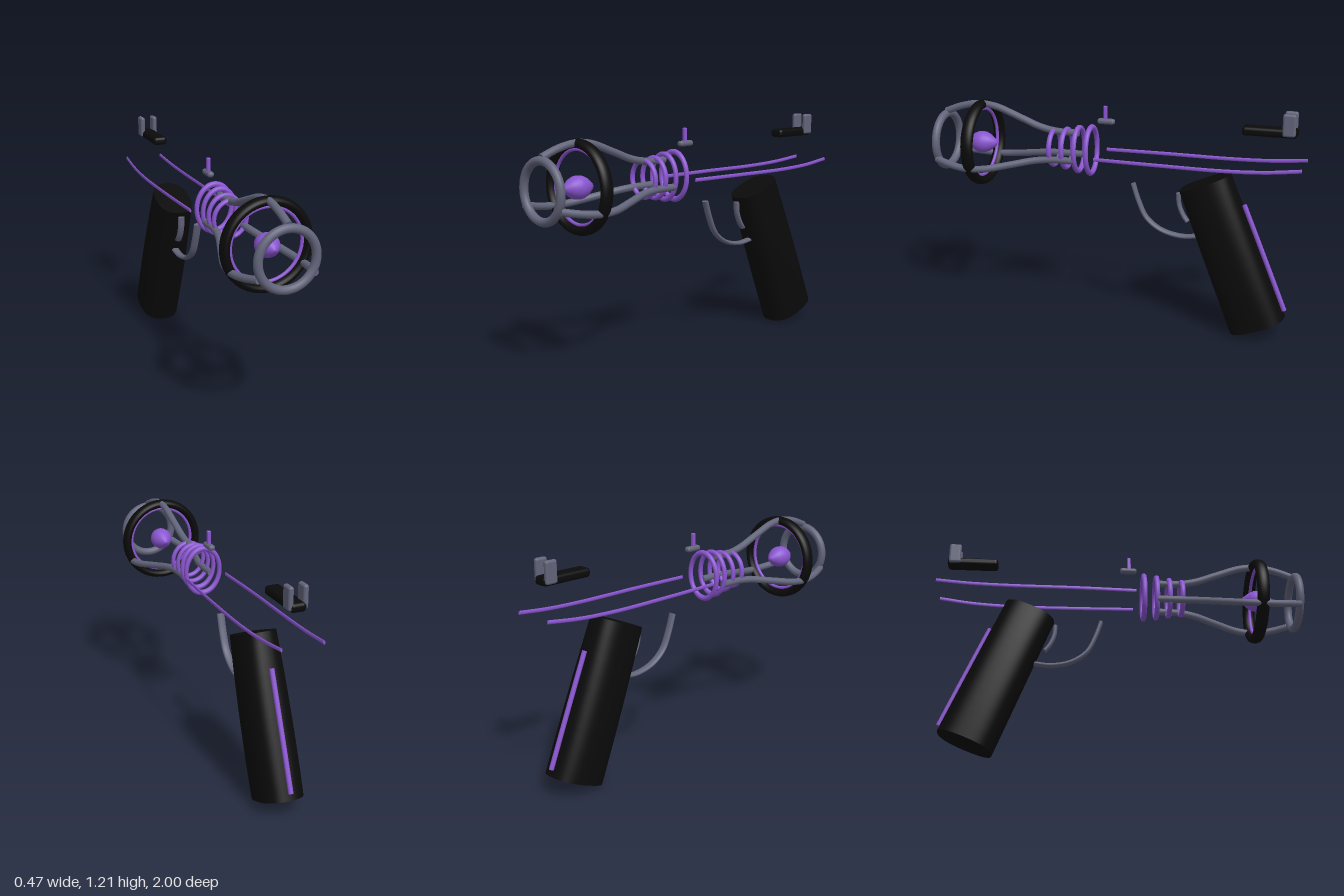
import * as THREE from 'three';
import { mergeGeometries, toCreasedNormals } from 'three/addons/utils/BufferGeometryUtils.js';
import { RoundedBoxGeometry } from 'three/addons/geometries/RoundedBoxGeometry.js';

const material = (name, color) => new THREE.MeshStandardMaterial({ name, color });
const AXIS = 0.943; // height of the barrel axis

export function createModel() {
  const purple = material('purple', 0x8a55d0);
  const grey = material('slate grey', 0x62647a);
  const black = material('black', 0x0a0a0a);
  const model = new THREE.Group();

  function add(name, geometry, mat, x = 0, y = 0, z = 0) {
    const mesh = new THREE.Mesh(geometry, mat);
    mesh.name = name;
    mesh.position.set(x, y, z);
    model.add(mesh);
    return mesh;
  }

  // Capped tube along points; stretch widens or narrows its section along x
  function rod(points, radius, stretch = 1, segments = 40) {
    const curve = new THREE.CatmullRomCurve3(
      points.map(([x, y, z]) => new THREE.Vector3(x / stretch, y, z)));
    const parts = [new THREE.TubeGeometry(curve, segments, radius, 12)];
    for (const t of [0, 1]) {
      const out = curve.getTangentAt(t).multiplyScalar(t ? 1 : -1);
      const turn = new THREE.Quaternion().setFromUnitVectors(new THREE.Vector3(0, 0, 1), out);
      const at = curve.getPointAt(t);
      parts.push(new THREE.CircleGeometry(radius, 12).applyQuaternion(turn).translate(at.x, at.y, at.z));
    }
    return mergeGeometries(parts).scale(stretch, 1, 1);
  }

  // Muzzle rings
  add('muzzleRing', new THREE.TorusGeometry(0.145, 0.022, 16, 64), grey, 0, AXIS, 0.976);
  add('guardRing', new THREE.TorusGeometry(0.212, 0.023, 20, 72).scale(1, 1, 1.5), black, 0, AXIS, 0.76);
  add('guardRingLining', new THREE.TorusGeometry(0.184, 0.009, 12, 72), purple, 0, AXIS, 0.76);

  // Energy core, pointed along the barrel
  const coreProfile = [[0, -0.088], [0.02, -0.079], [0.046, -0.045], [0.057, -0.02], [0.059, 0],
    [0.057, 0.02], [0.046, 0.045], [0.02, 0.079], [0, 0.088]].map(p => new THREE.Vector2(...p));
  add('energyCore', new THREE.LatheGeometry(coreProfile, 32).rotateX(Math.PI / 2), purple, 0, AXIS, 0.765);

  // Three bowed prongs around the barrel, as radius and z
  const prongPath = [[0.16, 0.975], [0.195, 0.88], [0.214, 0.78], [0.205, 0.68],
    [0.155, 0.54], [0.11, 0.42], [0.093, 0.33], [0.09, 0.2]];
  for (let i = 0; i < 3; i++) {
    const prong = add('prong', rod(prongPath.map(([r, z]) => [0, r, z]), 0.019), grey, 0, AXIS, 0);
    prong.rotation.z = i * Math.PI * 2 / 3;
  }

  // Oval coils: half width, half height, z
  for (const [w, h, z] of [[0.1, 0.107, 0.34], [0.1, 0.117, 0.27], [0.102, 0.132, 0.2], [0.109, 0.14, 0.13]]) {
    const coil = new THREE.TorusGeometry(1 - 0.11, 0.11, 12, 56).scale(w, h, 0.014 / 0.11);
    add('coil', coil, purple, 0, AXIS + 0.002, z);
  }

  // Slim side rails
  for (const s of [-1, 1]) {
    add('sideRail', rod([[s * 0.112, 0.926, 0.08], [s * 0.122, 0.926, -0.25], [s * 0.123, 0.926, -0.6],
      [s * 0.117, 0.935, -0.82], [s * 0.107, 0.954, -1]], 0.01, 0.5), purple);
  }

  // Front sight
  add('frontSightBase', new RoundedBoxGeometry(0.036, 0.03, 0.095, 4, 0.014), grey, 0, 1.108, 0.046);
  add('frontSightPost', new RoundedBoxGeometry(0.02, 0.08, 0.02, 3, 0.005), purple, 0, 1.15, 0.05);

  // Rear sight
  add('rearSightBase', new RoundedBoxGeometry(0.08, 0.046, 0.278, 4, 0.018), black, 0, 1.118, -0.818);
  for (const s of [-1, 1]) {
    add('rearSightPost', new RoundedBoxGeometry(0.027, 0.115, 0.066, 4, 0.012), grey, s * 0.037, 1.162, -0.917);
  }

  // Slanted grip: cylinder reshaped to a squarish oval that swells toward the bottom
  const grip = new THREE.CylinderGeometry(1, 1, 0.822, 48, 12);
  const p = grip.attributes.position;
  const squarish = v => Math.sign(v) * Math.pow(Math.abs(v), 0.8);
  for (let i = 0; i < p.count; i++) {
    const t = 0.5 - p.getY(i) / 0.822;
    const halfWidth = 0.1 + 0.045 * t - 0.032 * t * t;
    const halfDepth = 0.142 + 0.011 * t;
    p.setX(i, squarish(p.getX(i)) * halfWidth);
    p.setZ(i, squarish(p.getZ(i)) * halfDepth);
  }
  const gripMesh = add('grip', toCreasedNormals(grip, 0.8), black, 0, 0.446, -0.646);
  gripMesh.rotation.x = 0.383;
  add('gripStrip', rod([[0, 0.72, -0.704], [0, 0.44, -0.822], [0, 0.16, -0.938]], 0.013), purple);

  // Trigger and its guard
  add('triggerGuard', rod([[0, 0.783, -0.104], [0, 0.69, -0.135], [0, 0.6, -0.18],
    [0, 0.54, -0.26], [0, 0.515, -0.37], [0, 0.525, -0.47]], 0.012, 1.8), grey);
  add('trigger', rod([[0, 0.752, -0.352], [0, 0.69, -0.358], [0, 0.635, -0.38], [0, 0.6, -0.405]], 0.012, 1.6), grey);

  return model;
}
